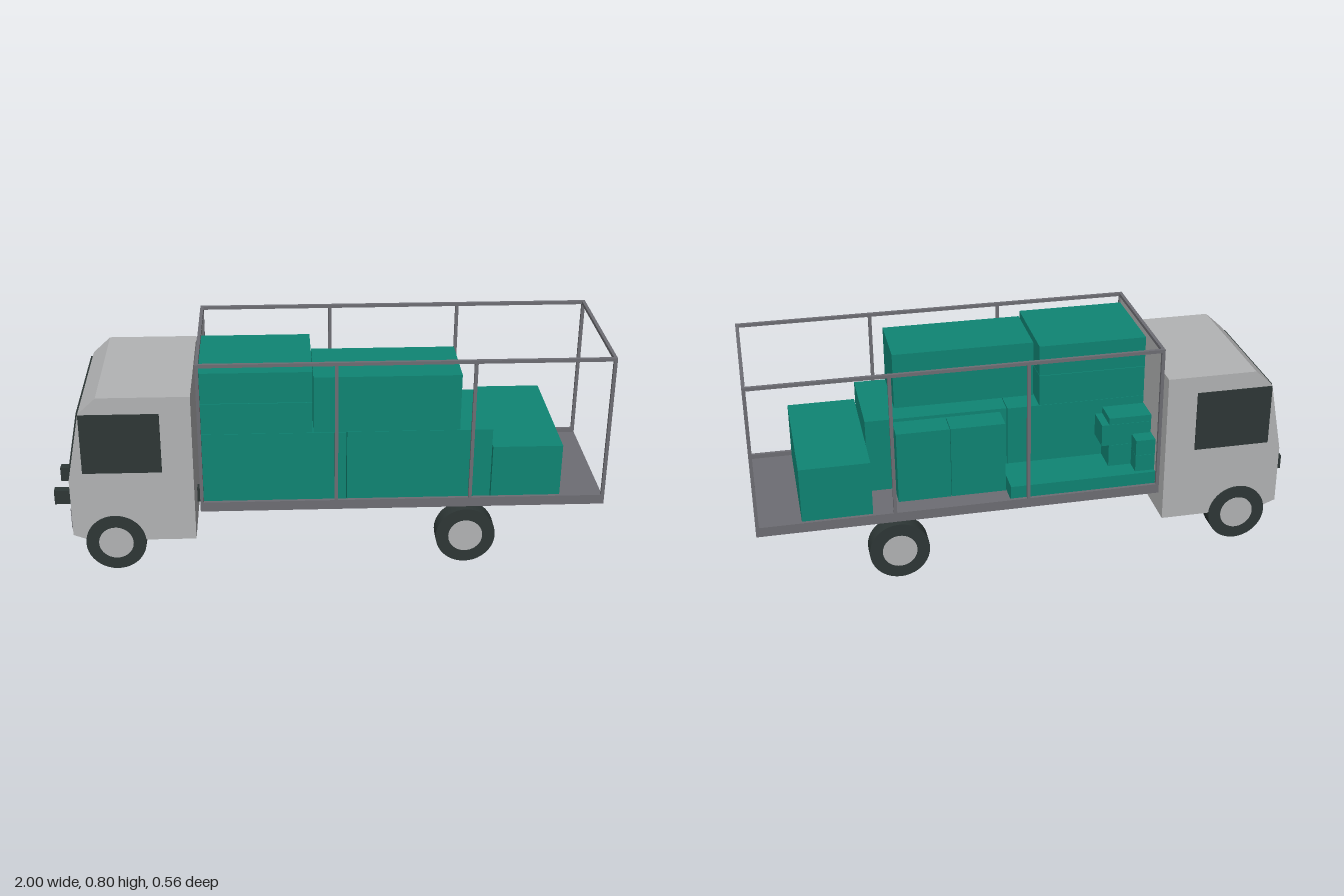
import * as THREE from 'three';

const material = (name, color) => Object.assign(new THREE.MeshStandardMaterial({ color }), { name });

export function createModel() {
  const paint = material('cab grey', 0xb3b4b5);
  const steel = material('frame grey', 0x6e6e74);
  const dark = material('dark rubber and glass', 0x2e3736);
  const teal = material('cargo teal', 0x0f8574);

  const model = new THREE.Group();
  model.name = 'cargoTruck';

  const add = (parent, name, geometry, mat) => {
    const mesh = new THREE.Mesh(geometry, mat);
    mesh.name = name;
    parent.add(mesh);
    return mesh;
  };
  // Box given by its lower and upper limits on each axis
  const block = (parent, name, mat, [x0, x1], [y0, y1], [z0, z1]) => {
    const mesh = add(parent, name, new THREE.BoxGeometry(x1 - x0, y1 - y0, z1 - z0), mat);
    mesh.position.set((x0 + x1) / 2, (y0 + y1) / 2, (z0 + z1) / 2);
    return mesh;
  };
  const group = (name) => {
    const g = new THREE.Group();
    g.name = name;
    model.add(g);
    return g;
  };

  // Cab: side profile extruded across the width
  const cab = group('cab');
  const profile = [[-0.915, 0.14], [-0.85, 0.115], [-0.475, 0.115], [-0.475, 0.68],
    [-0.8, 0.68], [-0.865, 0.62], [-0.915, 0.36]].map(([x, y]) => new THREE.Vector2(x, y));
  const shell = new THREE.ExtrudeGeometry(new THREE.Shape(profile), { depth: 0.544, bevelEnabled: false });
  shell.translate(0, 0, -0.272);
  add(cab, 'cabShell', shell, paint);

  // Windscreen lies on the sloping front face
  const screen = add(cab, 'windscreen', new THREE.BoxGeometry(0.008, 0.245, 0.5), dark);
  screen.position.set(-0.892, 0.494, 0);
  screen.rotation.z = -Math.atan2(0.05, 0.26);

  // Side windows
  for (const s of [-1, 1]) {
    block(cab, 'sideWindow', dark, [-0.865, -0.585], [0.39, 0.617], [s * 0.272 - 0.004, s * 0.272 + 0.004]);
  }
  block(cab, 'bumperPanel', steel, [-0.919, -0.911], [0.16, 0.24], [-0.26, 0.26]);

  // Chassis rails
  const chassis = group('chassis');
  for (const s of [-1, 1]) {
    block(chassis, 'chassisRail', dark, [-1, 0.975], [0.175, 0.23], [s * 0.09 - 0.016, s * 0.09 + 0.016]);
  }

  // Wheels with flat hub discs
  for (const x of [-0.763, 0.5]) {
    for (const s of [-1, 1]) {
      const wheel = group(x < 0 ? 'frontWheel' : 'rearWheel');
      wheel.position.set(x, 0.108, s * 0.246);
      wheel.rotation.x = s * Math.PI / 2;
      add(wheel, 'tyre', new THREE.CylinderGeometry(0.108, 0.108, 0.062, 40), dark);
      const hub = add(wheel, 'hub', new THREE.CylinderGeometry(0.062, 0.062, 0.006, 40), paint);
      hub.position.y = 0.03;
    }
  }

  // Load bed with low side sills and a headboard
  const bed = group('loadBed');
  block(bed, 'bedFloor', steel, [-0.455, 0.996], [0.229, 0.248], [-0.277, 0.277]);
  block(bed, 'headboard', paint, [-0.455, -0.449], [0.248, 0.79], [-0.268, 0.268]);

  // Open frame: sills, posts, top rails and end bars
  const frame = group('openFrame');
  const t = 0.012;
  for (const s of [-1, 1]) {
    const z = [s * 0.271 - t / 2, s * 0.271 + t / 2];
    block(frame, 'sill', steel, [-0.455, 0.996], [0.248, 0.265], z);
    block(frame, 'topRail', steel, [-0.455, 0.996], [0.788, 0.8], z);
    for (const x of [-0.449, 0.03, 0.51, 0.99]) {
      block(frame, 'post', steel, [x - t / 2, x + t / 2], [0.265, 0.788], z);
    }
  }
  for (const x of [-0.449, 0.99]) {
    block(frame, 'endBar', steel, [x - t / 2, x + t / 2], [0.788, 0.8], [-0.265, 0.265]);
  }

  // Cargo boxes: x, y and z limits
  const cargo = group('cargo');
  const boxes = [
    // Large boxes along the left side
    [[-0.447, 0.065], [0.248, 0.529], [-0.075, 0.264]],
    [[0.068, 0.582], [0.248, 0.53], [-0.073, 0.264]],
    [[-0.447, -0.053], [0.53, 0.646], [-0.075, 0.264]],
    [[-0.447, -0.053], [0.648, 0.762], [-0.075, 0.264]],
    [[-0.05, 0.465], [0.531, 0.741], [0.012, 0.264]],
    // Rear box across the bed
    [[0.586, 0.835], [0.248, 0.46], [-0.25, 0.264]],
    // Pair of upright boxes on the right side
    [[0.093, 0.291], [0.248, 0.52], [-0.174, -0.077]],
    [[0.293, 0.485], [0.248, 0.52], [-0.174, -0.077]],
    // Flat box with small cartons on it
    [[-0.447, 0.09], [0.248, 0.305], [-0.253, -0.078]],
    [[-0.447, -0.29], [0.306, 0.39], [-0.178, -0.078]],
    [[-0.447, -0.263], [0.391, 0.474], [-0.178, -0.078]],
    [[-0.447, -0.29], [0.475, 0.5], [-0.178, -0.078]],
    [[-0.447, -0.375], [0.306, 0.37], [-0.238, -0.18]],
    [[-0.447, -0.375], [0.371, 0.43], [-0.238, -0.18]],
  ];
  for (const [x, y, z] of boxes) block(cargo, 'cargoBox', teal, x, y, z);

  return model;
}
